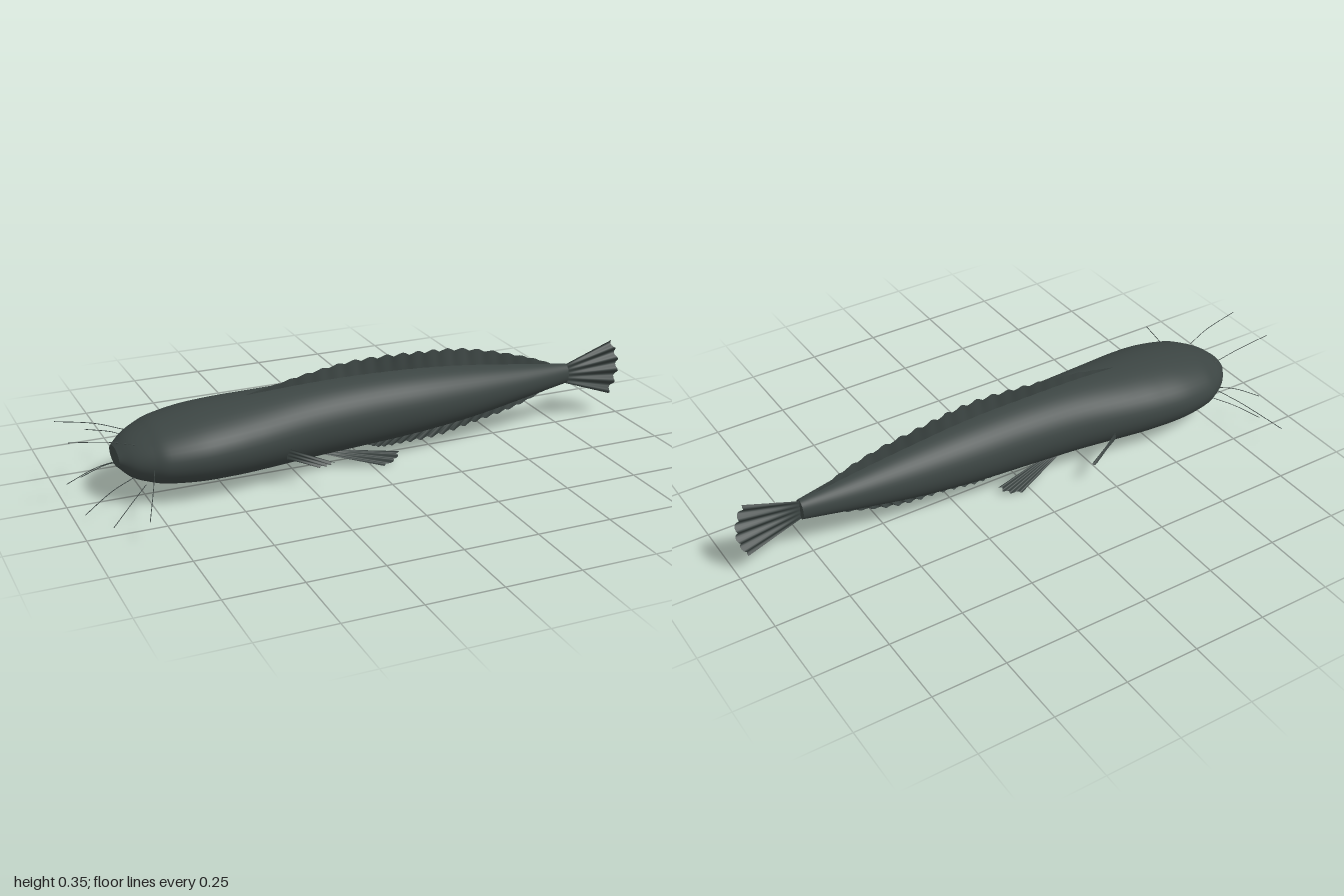
import * as THREE from 'three';
import { ParametricGeometry } from 'three/addons/geometries/ParametricGeometry.js';

const V = (x, y, z) => new THREE.Vector3(x, y, z);
const spline = (pts) => new THREE.CatmullRomCurve3(pts, false, 'catmullrom', 0.5);

// Body stations: x, belly height, back height, half width
const STATIONS = [
  [-0.84, 0.125, 0.185, 0.06], [-0.80, 0.088, 0.216, 0.108], [-0.75, 0.068, 0.24, 0.143],
  [-0.70, 0.056, 0.257, 0.166], [-0.60, 0.046, 0.275, 0.182], [-0.50, 0.043, 0.284, 0.179],
  [-0.40, 0.043, 0.289, 0.167], [-0.20, 0.05, 0.297, 0.138], [0.00, 0.058, 0.298, 0.123],
  [0.20, 0.07, 0.291, 0.112], [0.40, 0.091, 0.273, 0.091], [0.60, 0.123, 0.247, 0.06],
  [0.78, 0.152, 0.222, 0.026],
];
const heights = spline(STATIONS.map(([x, lo, hi]) => V(x, lo, hi)));
const widths = spline(STATIONS.map(([x, , , w]) => V(x, w, 0)));

export function createModel() {
  const model = new THREE.Group();
  model.name = 'catfish';
  const skin = new THREE.MeshStandardMaterial({ color: 0x3c4543, side: THREE.DoubleSide });
  skin.name = 'dark slate skin';

  const add = (name, geometry) => {
    const mesh = new THREE.Mesh(geometry, skin);
    mesh.name = name;
    model.add(mesh);
    return mesh;
  };

  // Smooth tapering body
  add('body', new ParametricGeometry((u, v, target) => {
    const h = heights.getPoint(u), w = widths.getPoint(u).y, a = v * Math.PI * 2;
    target.set(h.x, (h.y + h.z) / 2 + Math.cos(a) * (h.z - h.y) / 2, -Math.sin(a) * w);
  }, 72, 48));

  // Flat ends closing the snout and the tail stem
  for (const [name, s, dir] of [['snout', STATIONS[0], -1], ['tailStem', STATIONS[STATIONS.length - 1], 1]]) {
    const cap = add(name, new THREE.CircleGeometry(1, 32).scale(s[3], (s[2] - s[1]) / 2, 1).rotateY(dir * Math.PI / 2));
    cap.position.set(s[0], (s[1] + s[2]) / 2, 0);
  }

  // Long wavy fins with scalloped edges along the midline
  const ribbonFin = (name, root, edge, scallop) => {
    const r = spline(root.map(([x, y]) => V(x, y, 0)));
    const e = spline(edge.map(([x, y]) => V(x, y, 0)));
    add(name, new ParametricGeometry((u, v, target) => {
      target.lerpVectors(r.getPoint(u), e.getPoint(u), v);
      const fade = Math.sin(Math.PI * u);
      target.y += v * v * scallop * fade * Math.abs(Math.sin(u * Math.PI * 21));
      target.z = v * fade * (0.006 * Math.sin(u * 17) + 0.004 * Math.sin(u * Math.PI * 42));
    }, 168, 6));
  };
  ribbonFin('dorsalFin',
    [[-0.4, 0.275], [-0.2, 0.285], [0, 0.285], [0.2, 0.28], [0.4, 0.262], [0.6, 0.237], [0.77, 0.2]],
    [[-0.4, 0.29], [-0.2, 0.326], [0, 0.345], [0.2, 0.343], [0.4, 0.323], [0.6, 0.275], [0.77, 0.212]], 0.01);
  ribbonFin('analFin',
    [[0, 0.075], [0.15, 0.08], [0.3, 0.09], [0.45, 0.11], [0.6, 0.135], [0.77, 0.17]],
    [[0, 0.055], [0.08, 0.032], [0.22, 0.038], [0.4, 0.06], [0.58, 0.098], [0.77, 0.16]], -0.009);

  // Pleated fan: root corners a, b spread to tip corners c, d
  const fan = (a, b, c, d, rays, pleat, bulge) => {
    const normal = c.clone().sub(a).cross(d.clone().sub(a)).normalize();
    const p = V(0, 0, 0), q = V(0, 0, 0);
    return new ParametricGeometry((u, v, target) => {
      p.lerpVectors(a, b, v);
      q.lerpVectors(c, d, v);
      const reach = 1 + bulge * Math.sin(Math.PI * v) + 0.025 * Math.cos(v * rays * Math.PI * 2);
      target.lerpVectors(p, q, u * reach);
      target.addScaledVector(normal, pleat * u * Math.sin(v * rays * Math.PI * 2));
    }, 10, rays * 8);
  };

  // Tail fin
  add('tailFin', fan(V(0.775, 0.218, 0), V(0.775, 0.152, 0), V(0.96, 0.283, 0), V(0.96, 0.085, 0), 5, 0.008, 0.18));

  // Paired fins and whiskers, mirrored in z
  for (const side of [1, -1]) {
    const S = (x, y, z) => V(x, y, z * side);
    const label = side > 0 ? 'front' : 'back';
    add(label + 'PectoralFin', fan(S(-0.32, 0.148, 0.146), S(-0.32, 0.108, 0.14),
      S(-0.185, 0.098, 0.203), S(-0.225, 0.076, 0.172), 3, 0.005, 0.05));
    add(label + 'PelvicFin', fan(S(-0.16, 0.062, 0.052), S(-0.1, 0.066, 0.045),
      S(0.03, 0.01, 0.108), S(0.10, 0.036, 0.072), 3, 0.005, 0.08));

    const whiskers = {
      LongWhisker: [S(-0.75, 0.147, 0.135), S(-0.785, 0.135, 0.24), S(-0.84, 0.098, 0.385)],
      OuterChinWhisker: [S(-0.77, 0.085, 0.10), S(-0.83, 0.06, 0.155), S(-0.905, 0.01, 0.203)],
      InnerChinWhisker: [S(-0.8, 0.105, 0.075), S(-0.88, 0.08, 0.098), S(-0.97, 0.03, 0.122)],
      NoseWhisker: [S(-0.79, 0.21, 0.07), S(-0.88, 0.24, 0.083), S(-1, 0.262, 0.092)],
    };
    for (const [name, path] of Object.entries(whiskers)) {
      add(label + name, new THREE.TubeGeometry(spline(path), 20, 0.0012, 6));
    }
  }
  return model;
}
